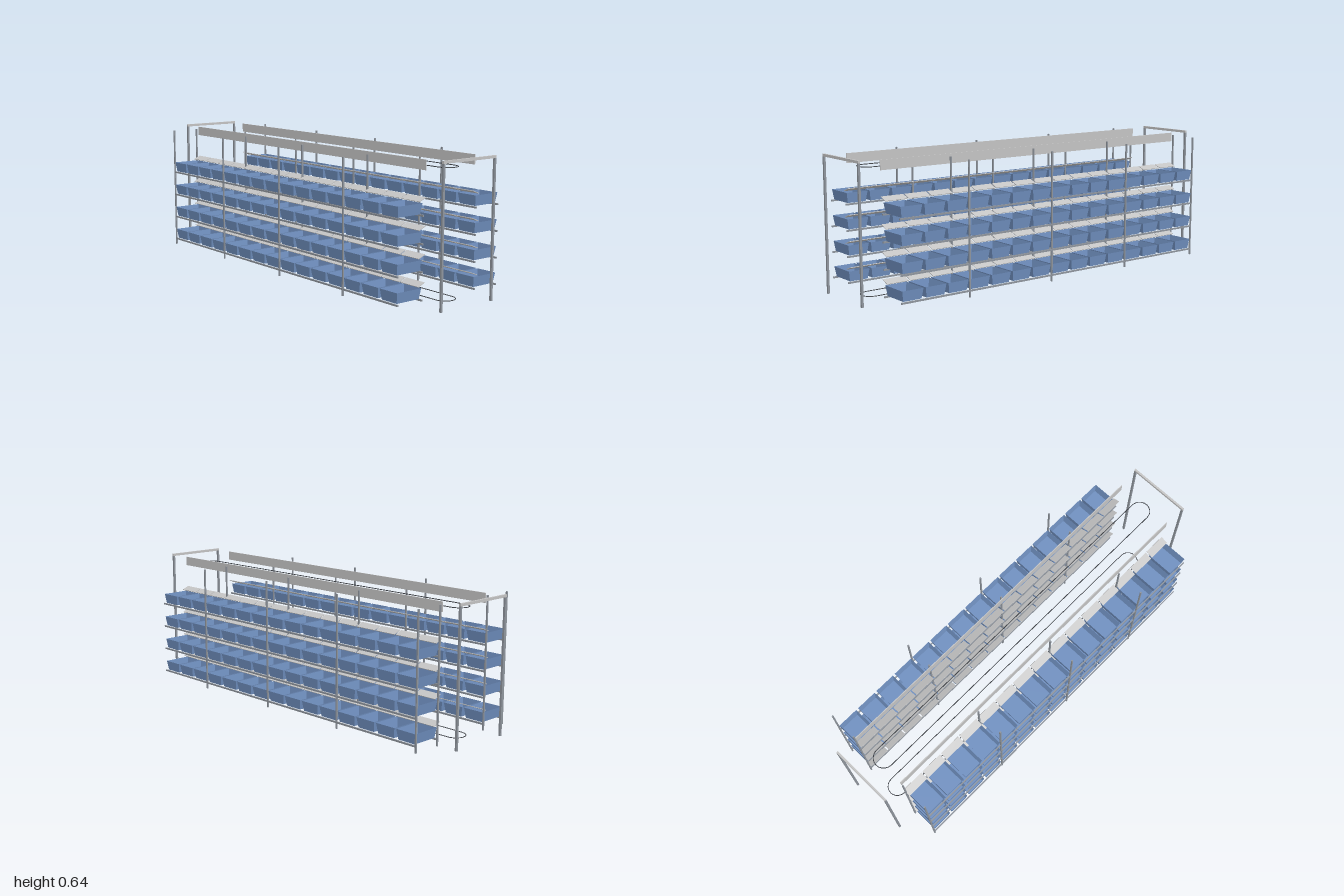
import * as THREE from 'three';

const mat = (name, color, extra = {}) => {
  const m = new THREE.MeshStandardMaterial({ color, ...extra });
  m.name = name;
  return m;
};

// Open-topped tray that narrows towards its floor
function binGeometry(w, h, d) {
  const g = new THREE.BoxGeometry(w, h, d);
  const p = g.attributes.position;
  for (let i = 0; i < p.count; i++) {
    if (p.getY(i) < 0) p.setXYZ(i, p.getX(i) * 0.86, p.getY(i), p.getZ(i) * 0.91);
  }
  const index = Array.from(g.index.array);
  index.splice(12, 6); // drop the lid
  g.setIndex(index);
  g.clearGroups();
  g.computeVertexNormals();
  return g;
}

// Closed stadium-shaped track lying flat
function trackGeometry(halfLength, r, tube) {
  const pts = [];
  const s = halfLength - r;
  for (const side of [1, -1]) {
    for (let i = 0; i <= 12; i++) {
      const a = -Math.PI / 2 + (Math.PI * i) / 12;
      pts.push(new THREE.Vector3(side * (s + r * Math.cos(a)), 0, side * r * Math.sin(a)));
    }
  }
  const path = new THREE.CurvePath();
  pts.forEach((p, i) => path.add(new THREE.LineCurve3(p, pts[(i + 1) % pts.length])));
  return new THREE.TubeGeometry(path, 240, tube, 6, true);
}

export function createModel() {
  const blue = mat('bin blue', 0x7090c0, { side: THREE.DoubleSide });
  const steel = mat('steel grey', 0x8f959d);
  const light = mat('light grey', 0xc4c4c4);
  const dark = mat('track dark grey', 0x40444a);

  const model = new THREE.Group();
  model.name = 'pickingRack';
  const add = (parent, name, geo, material, x, y, z) => {
    const m = new THREE.Mesh(geo, material);
    m.name = name;
    m.position.set(x, y, z);
    parent.add(m);
    return m;
  };

  const post = new THREE.BoxGeometry(0.007, 0.62, 0.007);
  const rail = new THREE.BoxGeometry(1.786, 0.008, 0.006);
  const bin = binGeometry(0.108, 0.048, 0.139);
  const label = new THREE.BoxGeometry(0.112, 0.003, 0.04);
  const panel = new THREE.BoxGeometry(1.782, 0.045, 0.004);

  // Two mirrored shelf rows facing a central aisle
  for (const s of [1, -1]) {
    const row = new THREE.Group();
    row.name = s > 0 ? 'frontShelfRow' : 'backShelfRow';
    model.add(row);

    for (let i = 0; i < 4; i++) {
      for (const z of [0.299, 0.16]) add(row, 'shelfPost', post, steel, -0.895 + i * 0.475, 0.31, s * z);
    }
    for (let level = 0; level < 4; level++) {
      const y = 0.035 + level * 0.122;
      for (const z of [0.299, 0.16]) add(row, 'shelfRail', rail, steel, -0.004, y - 0.005, s * z);
      for (let i = 0; i < 15; i++) {
        const x = -0.837 + i * 0.119;
        add(row, 'bin', bin, blue, x, y + 0.024, s * 0.2295);
        add(row, 'labelStrip', label, light, x, y + 0.063, s * 0.161).rotation.x = s * 0.38;
      }
    }
    // Long panel above the aisle edge
    add(row, 'topPanel', panel, light, -0.004, 0.6095, s * 0.146);
  }

  // Portal frames at both ends of the aisle
  for (const x of [-0.995, 0.995]) {
    const frame = new THREE.Group();
    frame.name = 'endFrame';
    model.add(frame);
    for (const z of [-0.152, 0.152]) {
      add(frame, 'framePost', new THREE.BoxGeometry(0.01, 0.626, 0.01), steel, x, 0.313, z);
    }
    add(frame, 'frameBeam', new THREE.BoxGeometry(0.01, 0.012, 0.314), light, x, 0.632, 0);
  }

  // Upper and lower loop tracks
  const track = trackGeometry(0.912, 0.049, 0.002);
  add(model, 'upperTrack', track, dark, 0, 0.59, 0);
  add(model, 'lowerTrack', track, dark, 0, 0.009, 0);

  return model;
}
